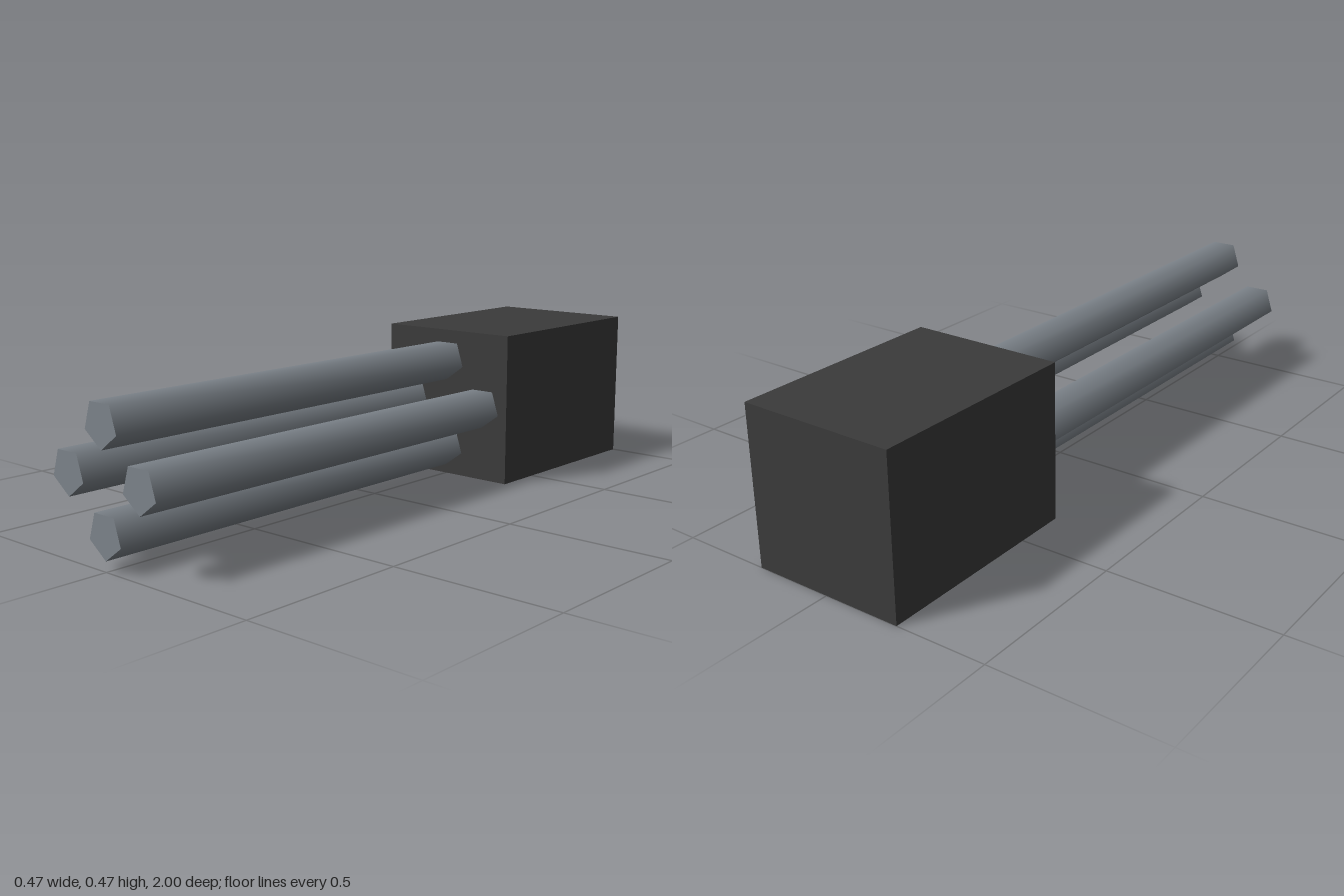
import * as THREE from 'three';

export function createModel() {
  const model = new THREE.Group();
  const charcoal = new THREE.MeshStandardMaterial({ color: 0x3b3b3b });
  charcoal.name = 'charcoal';
  const steel = new THREE.MeshStandardMaterial({ color: 0x7d848b });
  steel.name = 'steel';

  const half = 0.2325, split = -0.35; // housing half-width, and its front face in z

  // Square housing block at the back
  const housing = new THREE.Mesh(new THREE.BoxGeometry(half * 2, half * 2, split + 1), charcoal);
  housing.name = 'housing';
  housing.position.set(0, half, (split - 1) / 2);
  model.add(housing);

  // Four smooth-shaded five-sided rods in a diamond, one corner pointing down
  const rodGeometry = new THREE.CylinderGeometry(0.0647, 0.0647, 1 - split, 5).rotateX(Math.PI / 2);
  const offset = 0.1395;
  const places = { topRod: [0, 1], bottomRod: [0, -1], leftRod: [1, 0], rightRod: [-1, 0] };
  for (const [name, [x, y]] of Object.entries(places)) {
    const rod = new THREE.Mesh(rodGeometry, steel);
    rod.name = name;
    rod.position.set(x * offset, half + y * offset, (1 + split) / 2);
    model.add(rod);
  }
  return model;
}
